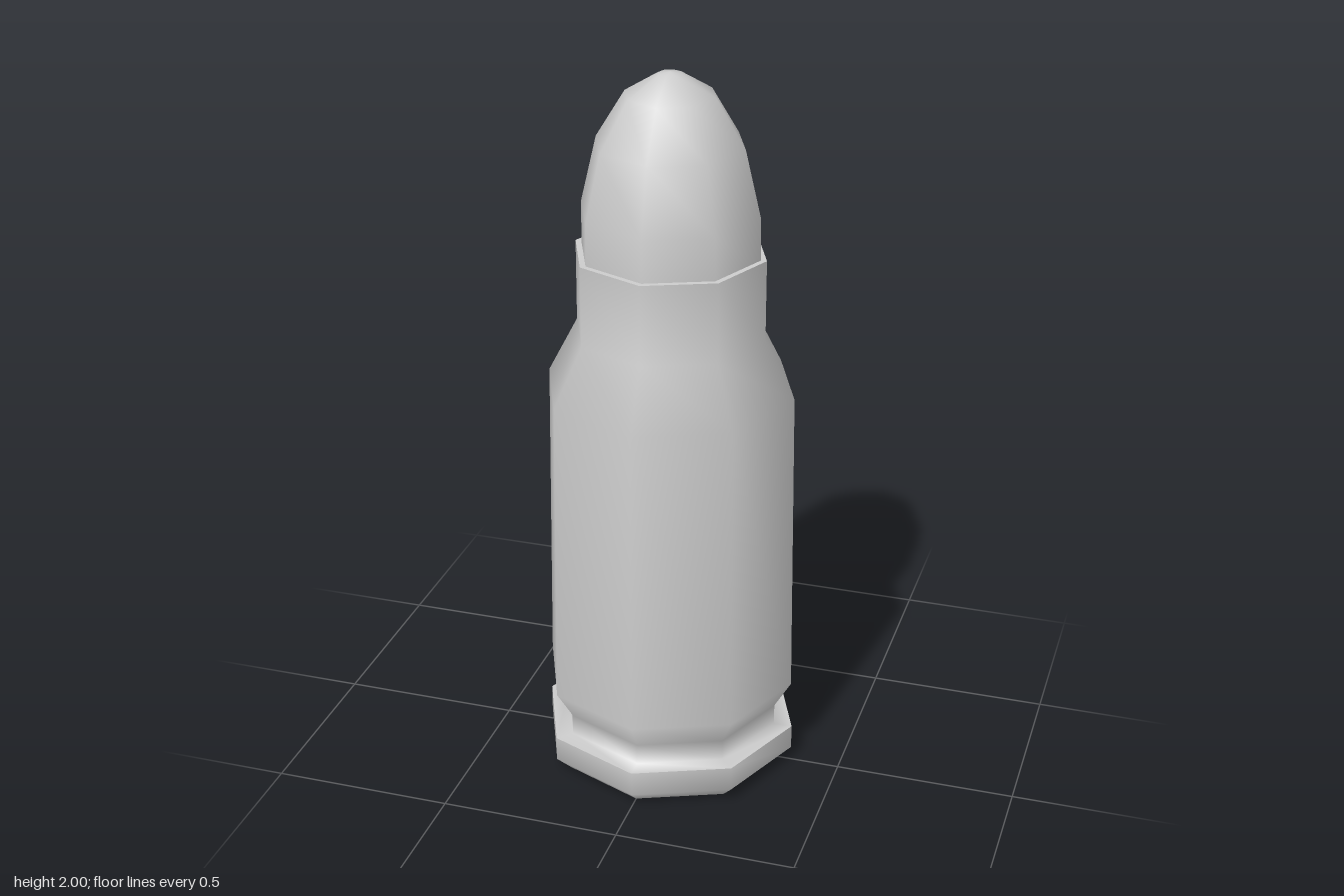
import * as THREE from 'three';

const SIDES = 8;

// Eight-sided turned part from [radius, height] points, listed bottom to top
function turned(name, profile, material) {
  const points = profile.map(([r, y]) => new THREE.Vector2(r, y));
  const mesh = new THREE.Mesh(new THREE.LatheGeometry(points, SIDES), material);
  mesh.name = name;
  return mesh;
}

export function createModel() {
  const group = new THREE.Group();
  group.name = 'cartridge';
  const material = new THREE.MeshStandardMaterial({ color: 0xcccccc });

  // Base disc with a bevelled lower edge
  group.add(turned('baseRim', [[0, 0], [0.32, 0], [0.362, 0.04], [0.362, 0.11]], material));

  // Rim ledge, extractor groove, tapered body, shoulder and neck
  group.add(turned('caseBody', [
    [0.362, 0.11], [0.31, 0.11], [0.31, 0.17], [0.357, 0.25],
    [0.346, 1.13], [0.263, 1.29], [0.263, 1.515],
  ], material));

  // Flat lip at the case mouth
  group.add(turned('caseMouth', [[0.263, 1.515], [0.246, 1.515]], material));

  // Rounded tip
  group.add(turned('tip', [
    [0.247, 1.5], [0.245, 1.63], [0.202, 1.81], [0.122, 1.94], [0.032, 1.995], [0, 2],
  ], material));

  return group;
}
